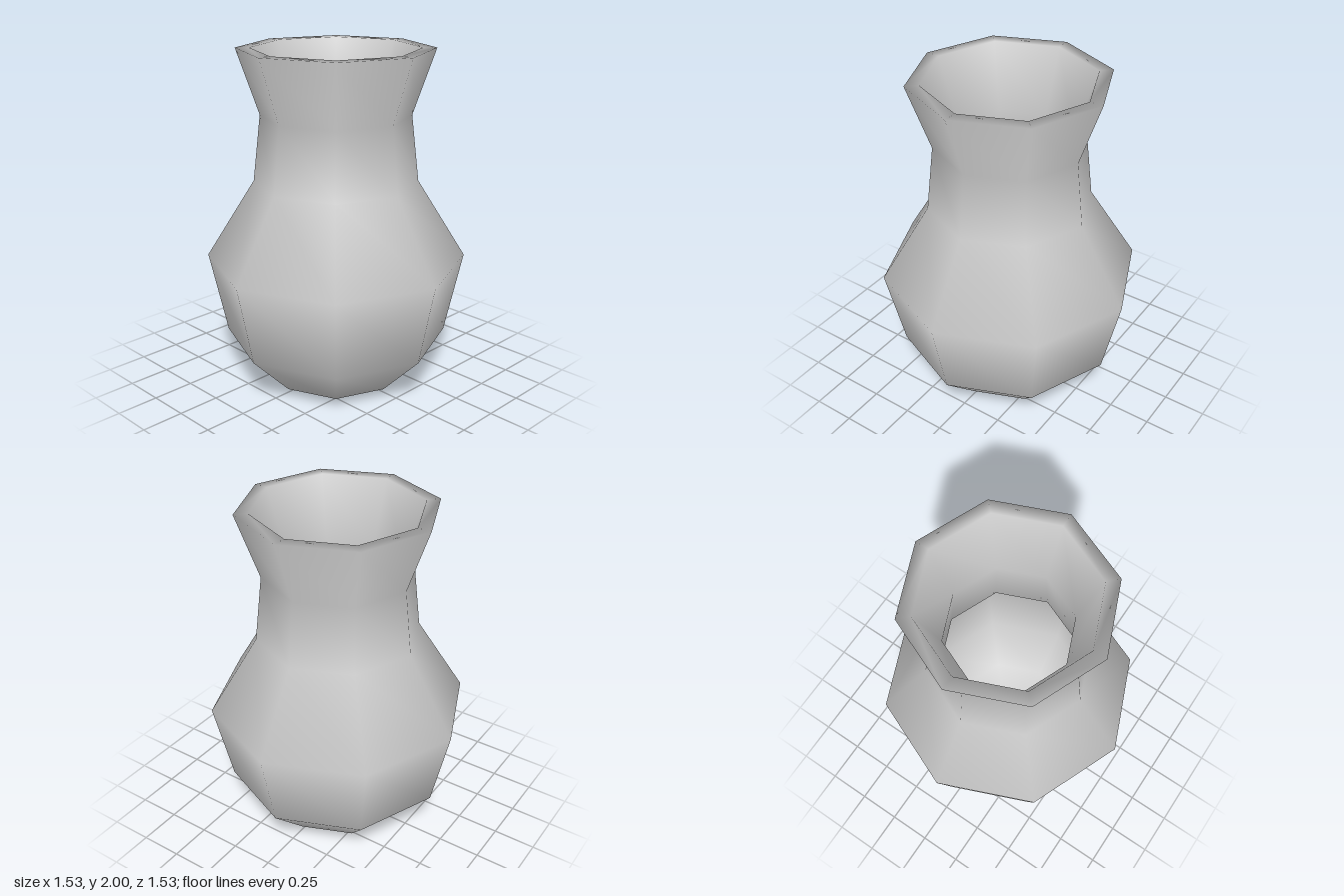
import * as THREE from 'three';

const SIDES = 8;

export function createModel() {
  const group = new THREE.Group();
  group.name = 'vase';
  const material = new THREE.MeshStandardMaterial({ color: 0xcccccc });

  // Closed wall profile: [radius, height], up the outside, over the rim, down the inside
  const outside = [[0, 0], [0.4, 0.02], [0.66, 0.285], [0.765, 0.77], [0.48, 1.23], [0.435, 1.62], [0.565, 2]];
  const inside = [[0.485, 2], [0.36, 1.62], [0.4, 1.22], [0.68, 0.76], [0.59, 0.32], [0.37, 0.1], [0, 0.08]];
  const profile = [...outside, ...inside].map(([r, y]) => new THREE.Vector2(r, y));

  // Eight-sided, smooth-shaded hollow body
  const body = new THREE.Mesh(new THREE.LatheGeometry(profile, SIDES), material);
  body.name = 'vaseBody';
  group.add(body);
  return group;
}
